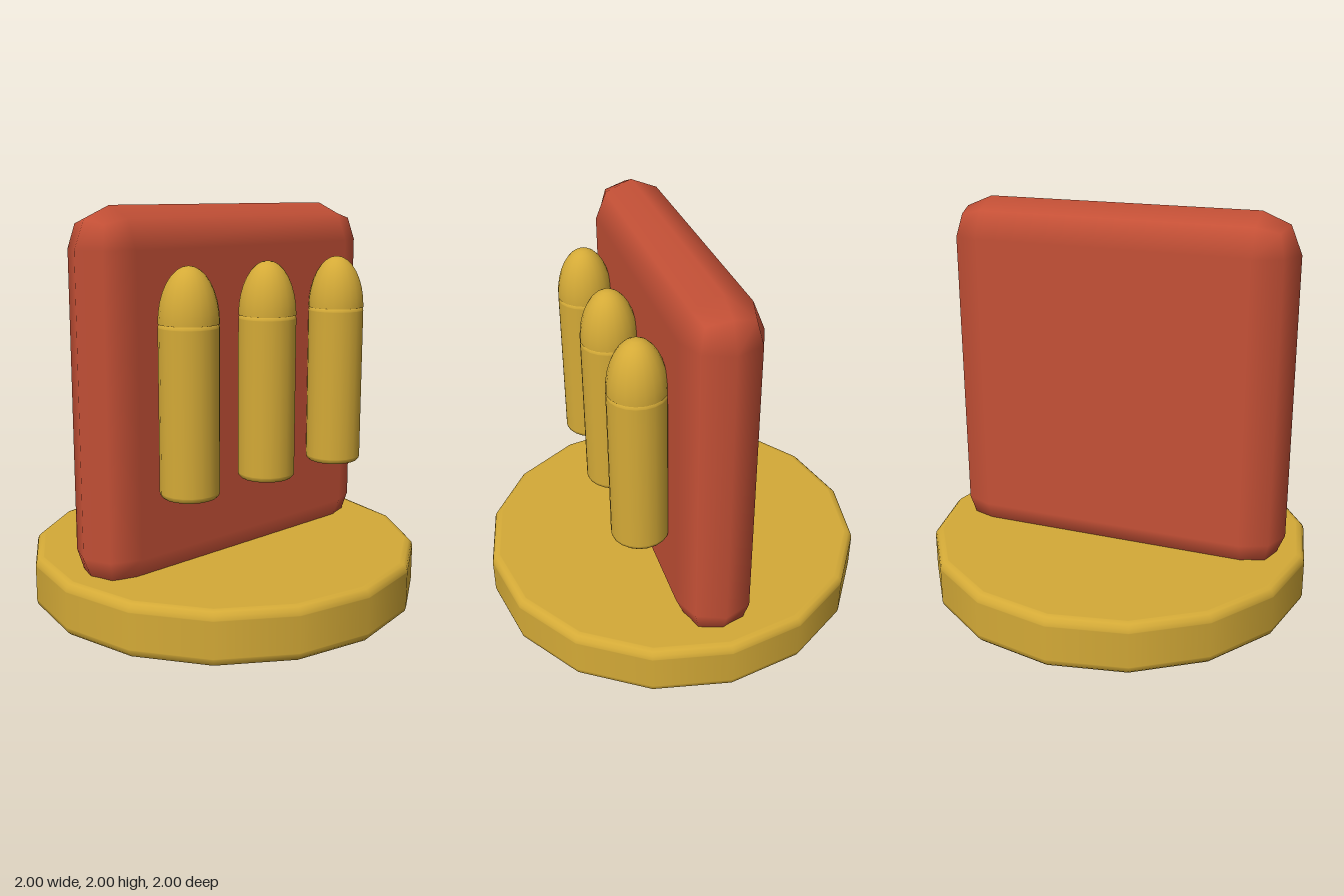
import * as THREE from 'three';
import { RoundedBoxGeometry } from 'three/addons/geometries/RoundedBoxGeometry.js';

// Solid disc or post with softly rounded rims, standing on y = 0
function roundedCylinder(radius, height, bevel, sides) {
  const e = bevel * 0.1, pts = [[0, 0], [radius - bevel - e, 0]];
  const arc = (cy, from) => {
    for (let i = 0; i <= 3; i++) {
      const a = from + (i / 3) * (Math.PI / 2);
      pts.push([radius - bevel + bevel * Math.cos(a), cy + bevel * Math.sin(a)]);
    }
  };
  arc(bevel, -Math.PI / 2);
  pts.push([radius, bevel + e], [radius, height - bevel - e]);
  arc(height - bevel, 0);
  pts.push([radius - bevel - e, height], [0, height]);
  return new THREE.LatheGeometry(pts.map(([x, y]) => new THREE.Vector2(x, y)), sides);
}

export function createModel() {
  const group = new THREE.Group();
  const gold = new THREE.MeshStandardMaterial({ color: 0xd4aa37 });
  gold.name = 'gold';
  const red = new THREE.MeshStandardMaterial({ color: 0xc45036 });
  red.name = 'red';

  const add = (name, geometry, material, x, y, z, parent = group) => {
    const mesh = new THREE.Mesh(geometry, material);
    mesh.name = name;
    mesh.position.set(x, y, z);
    parent.add(mesh);
    return mesh;
  };

  // Sixteen-sided base
  add('base', roundedCylinder(1, 0.265, 0.04, 16), gold, 0, 0, 0);

  // Upright slab, sunk a little into the base
  const bottom = 0.165, top = 2;
  add('slab', new RoundedBoxGeometry(1.79, top - bottom, 0.39, 1, 0.195), red, 0, (top + bottom) / 2, 0);

  // Three round-topped posts against the front of the slab
  const body = roundedCylinder(0.142, 0.825, 0.025, 20);
  const dome = new THREE.SphereGeometry(0.142, 20, 8, 0, Math.PI * 2, 0, Math.PI / 2);
  dome.scale(1, 0.26 / 0.142, 1);
  for (const x of [-0.5, 0, 0.5]) {
    const post = new THREE.Group();
    post.name = 'post';
    post.position.set(x, 0.66, 0.315);
    add('postBody', body, gold, 0, 0, 0, post);
    add('postDome', dome, gold, 0, 0.815, 0, post);
    group.add(post);
  }

  return group;
}
